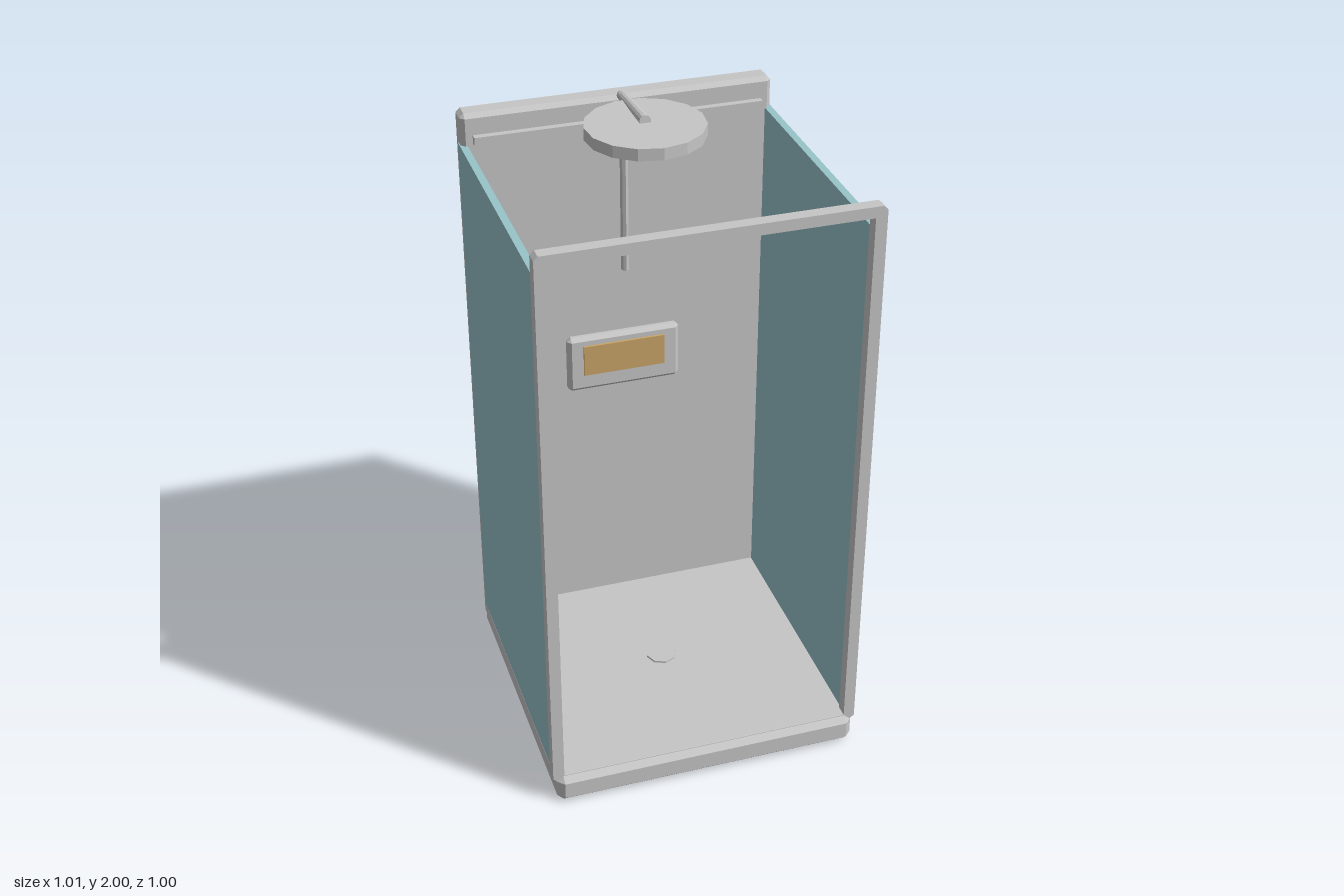
import * as THREE from 'three';
import { ConvexGeometry } from 'three/addons/geometries/ConvexGeometry.js';

// Box with all edges cut at 45 degrees, given by its lower and upper corners
function chamferBox(lo, hi, cut) {
  const half = hi.map((v, i) => (v - lo[i]) / 2);
  const mid = hi.map((v, i) => (v + lo[i]) / 2);
  const points = [];
  for (const sx of [-1, 1]) for (const sy of [-1, 1]) for (const sz of [-1, 1]) {
    const sign = [sx, sy, sz];
    for (let full = 0; full < 3; full++) {
      points.push(new THREE.Vector3(...sign.map((s, i) => mid[i] + s * (half[i] - (i === full ? 0 : cut)))));
    }
  }
  return new ConvexGeometry(points);
}

function box(lo, hi) {
  const g = new THREE.BoxGeometry(hi[0] - lo[0], hi[1] - lo[1], hi[2] - lo[2]);
  return g.translate((hi[0] + lo[0]) / 2, (hi[1] + lo[1]) / 2, (hi[2] + lo[2]) / 2);
}

export function createModel() {
  const group = new THREE.Group();
  const grey = new THREE.MeshStandardMaterial({ color: 0xc5c6c5 });
  const glass = new THREE.MeshStandardMaterial({ color: 0x98c4ca });
  const amber = new THREE.MeshStandardMaterial({ color: 0xc9a468 });
  grey.name = 'enamelGrey';
  glass.name = 'tealGlass';
  amber.name = 'amberDisplay';

  const add = (name, geometry, material = grey) => {
    const flat = geometry.index ? geometry.toNonIndexed() : geometry;
    flat.computeVertexNormals();
    const mesh = new THREE.Mesh(flat, material);
    mesh.name = name;
    group.add(mesh);
    return mesh;
  };

  // Tray, drain and back wall
  add('tray', chamferBox([-0.495, 0, -0.492], [0.495, 0.1, 0.495], 0.022));
  add('drain', new THREE.CylinderGeometry(0.05, 0.05, 0.015, 8).translate(0, 0.099, 0));
  add('backPanel', chamferBox([-0.496, 0.035, -0.5], [0.496, 1.952, -0.424], 0.014));
  add('backRail', box([-0.46, 1.857, -0.43], [0.46, 1.884, -0.402]));

  // Glass side walls
  for (const [name, s] of [['leftGlass', 1], ['rightGlass', -1]]) {
    add(name, box([s * 0.4875 - 0.0115, 0.098, -0.46], [s * 0.4875 + 0.0115, 1.85, 0.44]), glass);
  }

  // Front door frame with clipped outer corners, standing on the tray
  const w = 0.506, y0 = 0.08, y1 = 1.93, c = 0.013;
  const outline = new THREE.Shape([
    [-w + c, y0], [w - c, y0], [w, y0 + c], [w, y1 - c],
    [w - c, y1], [-w + c, y1], [-w, y1 - c], [-w, y0 + c],
  ].map(p => new THREE.Vector2(...p)));
  outline.holes.push(new THREE.Path([
    [-0.47, 0.099], [-0.47, 1.895], [0.47, 1.895], [0.47, 0.099],
  ].map(p => new THREE.Vector2(...p))));
  add('frontFrame', new THREE.ExtrudeGeometry(outline, { depth: 0.04, bevelEnabled: false }).translate(0, 0, 0.436));

  // Control box and its display
  add('controlBox', chamferBox([-0.19, 0.936, -0.44], [0.19, 1.135, -0.4], 0.013));
  add('display', box([-0.138, 0.998, -0.401], [0.136, 1.105, -0.392]), amber);

  // Shower riser, tapered arm and rain head
  add('riserPipe', new THREE.CylinderGeometry(0.019, 0.019, 0.6, 8)
    .scale(0.7, 1, 1).translate(0, 1.68, -0.38));
  const from = new THREE.Vector3(0, 1.967, -0.395);
  const to = new THREE.Vector3(0, 1.982, -0.155);
  const dir = to.clone().sub(from);
  const arm = add('showerArm', new THREE.CylinderGeometry(0.018, 0.016, dir.length(), 12));
  arm.position.copy(from).add(to).multiplyScalar(0.5);
  arm.quaternion.setFromUnitVectors(new THREE.Vector3(0, 1, 0), dir.normalize());
  add('showerHead', new THREE.CylinderGeometry(0.184, 0.184, 0.038, 15).translate(0, 1.957, -0.155));

  return group;
}
